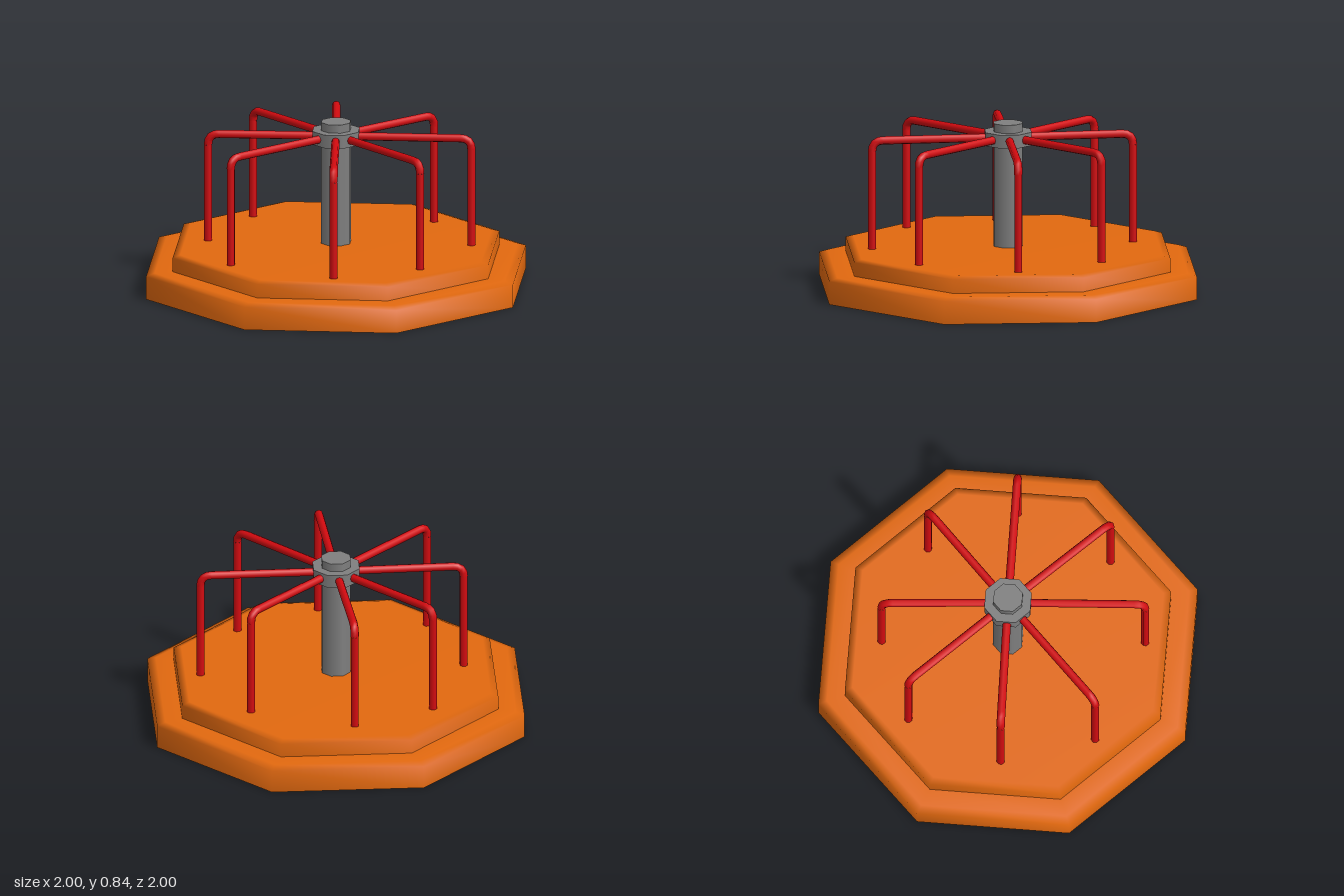
import * as THREE from 'three';
import { mergeGeometries } from 'three/addons/utils/BufferGeometryUtils.js';

const orange = new THREE.MeshStandardMaterial({ name: 'orange paint', color: 0xe3690f });
const grey = new THREE.MeshStandardMaterial({ name: 'grey steel', color: 0x808080 });
const red = new THREE.MeshStandardMaterial({ name: 'red paint', color: 0xd40b10 });

// Octagonal solid from a profile; a repeated point makes a sharp edge
function octagon(name, profile, material) {
  const geometry = new THREE.LatheGeometry(profile.map(([r, y]) => new THREE.Vector2(r, y)), 8);
  geometry.normalizeNormals();
  const mesh = new THREE.Mesh(geometry, material);
  mesh.name = name;
  return mesh;
}

// Handrail: arm out from the hub, rounded elbow, post down to the deck
function handrail(x, z) {
  const reach = Math.hypot(x, z), armY = 0.768, bend = 0.055, thickness = 0.021;
  const at = (r, y) => new THREE.Vector3((x / reach) * r, y, (z / reach) * r);
  const armEnd = at(reach - bend, armY), postTop = at(reach, armY - bend);
  const arm = new THREE.LineCurve3(at(0.05, armY), armEnd);
  const elbow = new THREE.QuadraticBezierCurve3(armEnd, at(reach, armY), postTop);
  const post = new THREE.LineCurve3(postTop, at(reach, 0.19));
  const parts = [[arm, 1], [elbow, 4], [post, 1]].map(
    ([curve, steps]) => new THREE.TubeGeometry(curve, steps, thickness, 8));
  const mesh = new THREE.Mesh(mergeGeometries(parts), red);
  mesh.name = 'handrail';
  return mesh;
}

export function createModel() {
  const model = new THREE.Group();
  model.name = 'merryGoRound';

  // Outer rim, open in the middle underneath
  model.add(octagon('rim', [
    [0.86, 0.132], [0.86, 0], [0.86, 0],
    [1, 0], [1, 0], [1, 0.118], [0.955, 0.132], [0.86, 0.132],
  ], orange));

  // Raised deck with a bevelled edge
  model.add(octagon('deck', [
    [0, 0.07], [0.86, 0.07], [0.86, 0.07],
    [0.86, 0.203], [0.82, 0.215], [0, 0.215],
  ], orange));

  // Centre pole and the hub that holds the rails
  const pole = new THREE.Mesh(new THREE.CylinderGeometry(0.078, 0.078, 0.65, 8), grey);
  pole.name = 'pole';
  pole.position.y = 0.518;
  model.add(pole);
  const hub = new THREE.Mesh(new THREE.CylinderGeometry(0.125, 0.125, 0.068, 8), grey);
  hub.name = 'hub';
  hub.position.y = 0.767;
  model.add(hub);

  // Eight slightly uneven handrails
  const feet = [
    [0.246, 0.62], [-0.22, 0.652], [0.632, 0.255], [-0.635, 0.255],
    [0.59, -0.232], [-0.6, -0.232], [0.193, -0.604], [-0.245, -0.604],
  ];
  const rails = new THREE.Group();
  rails.name = 'handrails';
  for (const [x, z] of feet) rails.add(handrail(x, z));
  model.add(rails);

  return model;
}
